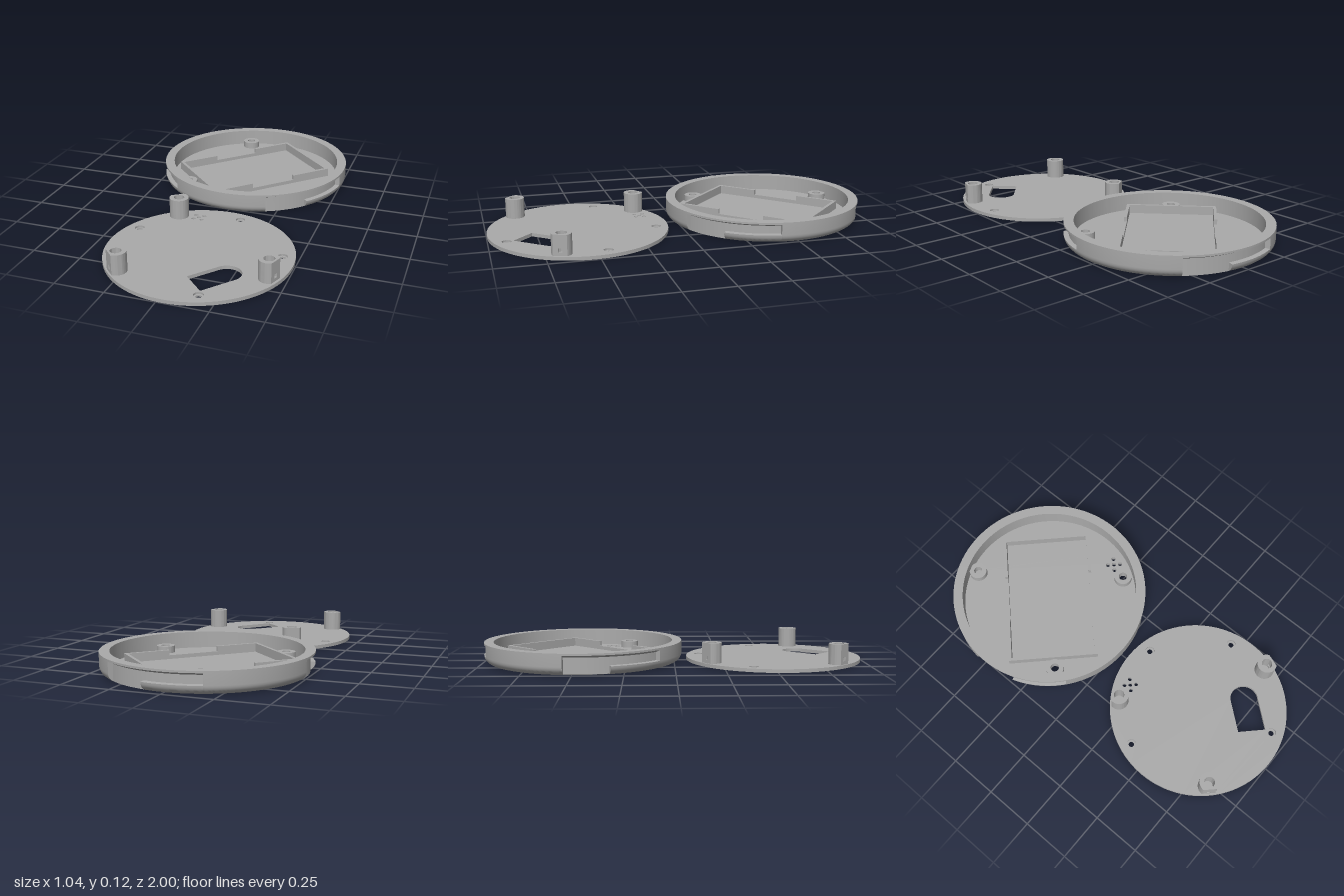
import * as THREE from 'three';
import { toCreasedNormals } from 'three/addons/utils/BufferGeometryUtils.js';

const grey = new THREE.MeshStandardMaterial({ color: 0xaaaaaa, side: THREE.DoubleSide });
grey.name = 'grey plastic';

const rad = THREE.MathUtils.degToRad;

function add(parent, name, geometry) {
  const mesh = new THREE.Mesh(geometry, grey);
  mesh.name = name;
  parent.add(mesh);
  return mesh;
}

// Outlines are drawn in x and z (z is flipped into shape space).
function circle(x, z, r, Type = THREE.Path) {
  const p = new Type();
  p.absarc(x, -z, r, 0, Math.PI * 2, false);
  return p;
}

// Raise an outline from y0 to y1.
function slab(shape, y0, y1) {
  const g = new THREE.ExtrudeGeometry(shape, { depth: y1 - y0, bevelEnabled: false, curveSegments: 56 });
  g.rotateX(-Math.PI / 2);
  g.translate(0, y0, 0);
  return toCreasedNormals(g, 0.5);
}

function disc(r, holes) {
  const s = circle(0, 0, r, THREE.Shape);
  s.holes.push(...holes);
  return s;
}

// Four small vents around a fifth.
function vents(x, z, step, r) {
  return [[0, 0], [-1, -1], [1, -1], [1, 1], [-1, 1]].map(([i, j]) => circle(x + i * step, z + j * step, r));
}

function buildCup() {
  const cup = new THREE.Group();
  cup.name = 'cup';
  cup.position.z = -0.48;

  // Rim wall, with three L-shaped twist-lock recesses
  const fillet = [];
  for (let i = 0; i <= 8; i++) {
    const a = (i / 8) * Math.PI / 2;
    fillet.push([0.47 + 0.05 * Math.sin(a), 0.045 * (1 - Math.cos(a))]);
  }
  const top = [[0.52, 0.11], [0.47, 0.11], [0.47, 0.025], [0.455, 0.025], [0.455, 0]];
  const full = [[0.455, 0], ...fillet, ...top];
  const entry = [[0.455, 0], [0.47, 0], [0.495, 0.006], [0.495, 0.088], [0.52, 0.1], ...top];
  const slot = [[0.455, 0], ...fillet, [0.495, 0.047], [0.495, 0.088], [0.52, 0.1], ...top];
  const sections = [['rimEntry', entry, 23, 26], ['rimSlot', slot, 49, 32], ['rimWall', full, 81, 62]];
  for (let k = 0; k < 3; k++) {
    for (const [name, profile, start, sweep] of sections) {
      const pts = profile.map(([r, y]) => new THREE.Vector2(r, y));
      const phi = rad(start + k * 120);
      add(cup, name, toCreasedNormals(new THREE.LatheGeometry(pts, sweep, phi, rad(sweep)), 0.5));
      for (const a of [phi, phi + rad(sweep)]) {
        const cap = new THREE.ShapeGeometry(new THREE.Shape(pts));
        cap.rotateY(a - Math.PI / 2);
        add(cup, 'rimEnd', cap);
      }
    }
  }

  // Floor with countersunk screw holes and vents
  const screws = [[-0.15, -0.4], [-0.3, 0.3], [0.34, 0.235]];
  const floor = (r) => disc(0.456, [...screws.map(([x, z]) => circle(x, z, r)), ...vents(0.375, 0.14, 0.024, 0.011)]);
  add(cup, 'floorLower', slab(floor(0.04), 0, 0.018));
  add(cup, 'floorUpper', slab(floor(0.022), 0.018, 0.025));
  for (const [x, z] of screws) {
    const cone = new THREE.CylinderGeometry(0.022, 0.04, 0.018, 40, 1, true);
    cone.translate(x, 0.009, z);
    add(cup, 'countersink', cone);
    const ring = circle(x, z, 0.047, THREE.Shape);
    ring.holes.push(circle(x, z, 0.022));
    add(cup, 'screwBoss', slab(ring, 0.02, 0.06));
  }

  // Diagonal frame, lower in the middle of its long walls
  const frame = new THREE.Group();
  frame.name = 'batteryFrame';
  frame.position.set(-0.01, 0.02, 0.005);
  frame.rotation.y = Math.PI / 4;
  cup.add(frame);
  const L = 0.72, W = 0.475, t = 0.016;
  const wall = (name, x, z, w, h, d) => add(frame, name, new THREE.BoxGeometry(w, h, d)).position.set(x, h / 2, z);
  for (const s of [-1, 1]) {
    wall('frameShortWall', s * (L - t) / 2, 0, t, 0.05, W);
    wall('frameLowWall', 0, s * (W - t) / 2, 0.26, 0.024, t);
    for (const e of [-1, 1]) wall('frameLongWall', e * (0.13 + L / 2) / 2, s * (W - t) / 2, L / 2 - 0.13, 0.05, t);
  }
  return cup;
}

// Post outline with its outer side cut flat; notched leaves a side hole.
function postShape(notched) {
  const r = 0.05, flat = 0.037, a = Math.acos(flat / r), h = 0.01;
  const s = new THREE.Shape();
  s.absarc(0, 0, r, a, Math.PI * 2 - a, false);
  if (notched) {
    s.lineTo(flat, -h);
    const b = Math.asin(h / 0.027);
    s.absarc(0, 0, 0.027, -b, -(Math.PI * 2 - b), true);
    s.lineTo(flat, h);
  } else {
    s.holes.push(circle(0, 0, 0.027));
  }
  s.closePath();
  return s;
}

function buildLid() {
  const lid = new THREE.Group();
  lid.name = 'lid';
  lid.position.set(0.03, 0, 0.533);

  // Plate with stepped screw holes, vents and a round-ended opening
  const screws = [[0.08, -0.395], [0.393, -0.083], [0.138, 0.377], [-0.378, -0.143]];
  const opening = () => {
    const p = new THREE.Path();
    const c = new THREE.Vector2(0.193, -0.157), w = 0.072, q = Math.SQRT1_2;
    p.moveTo(0.03, -0.242);
    p.lineTo(0.132, -0.343);
    p.absarc(c.x, c.y, w, -Math.PI / 4, Math.PI * 0.75, false);
    p.lineTo(0.081 - w * q, -0.293 + w * q);
    p.closePath();
    return p;
  };
  const plate = (r) => disc(0.465, [
    ...screws.map(([x, z]) => circle(x, z, r)), ...vents(-0.135, -0.353, 0.022, 0.01), opening()]);
  add(lid, 'plateLower', slab(plate(0.014), 0, 0.008));
  add(lid, 'plateUpper', slab(plate(0.024), 0.008, 0.018));

  // Three hollow posts with a small side hole facing outwards
  for (const [x, z] of [[-0.24, -0.343], [0.39, 0.14], [-0.297, 0.295]]) {
    const post = new THREE.Group();
    post.name = 'post';
    post.position.set(x, 0, z);
    post.rotation.y = Math.atan2(-z, x);
    lid.add(post);
    add(post, 'postFoot', slab(postShape(false), 0.018, 0.035));
    add(post, 'postSideHole', slab(postShape(true), 0.035, 0.055));
    add(post, 'postTop', slab(postShape(false), 0.055, 0.122));
  }
  return lid;
}

export function createModel() {
  const model = new THREE.Group();
  model.name = 'roundCase';
  model.add(buildCup(), buildLid());
  return model;
}
